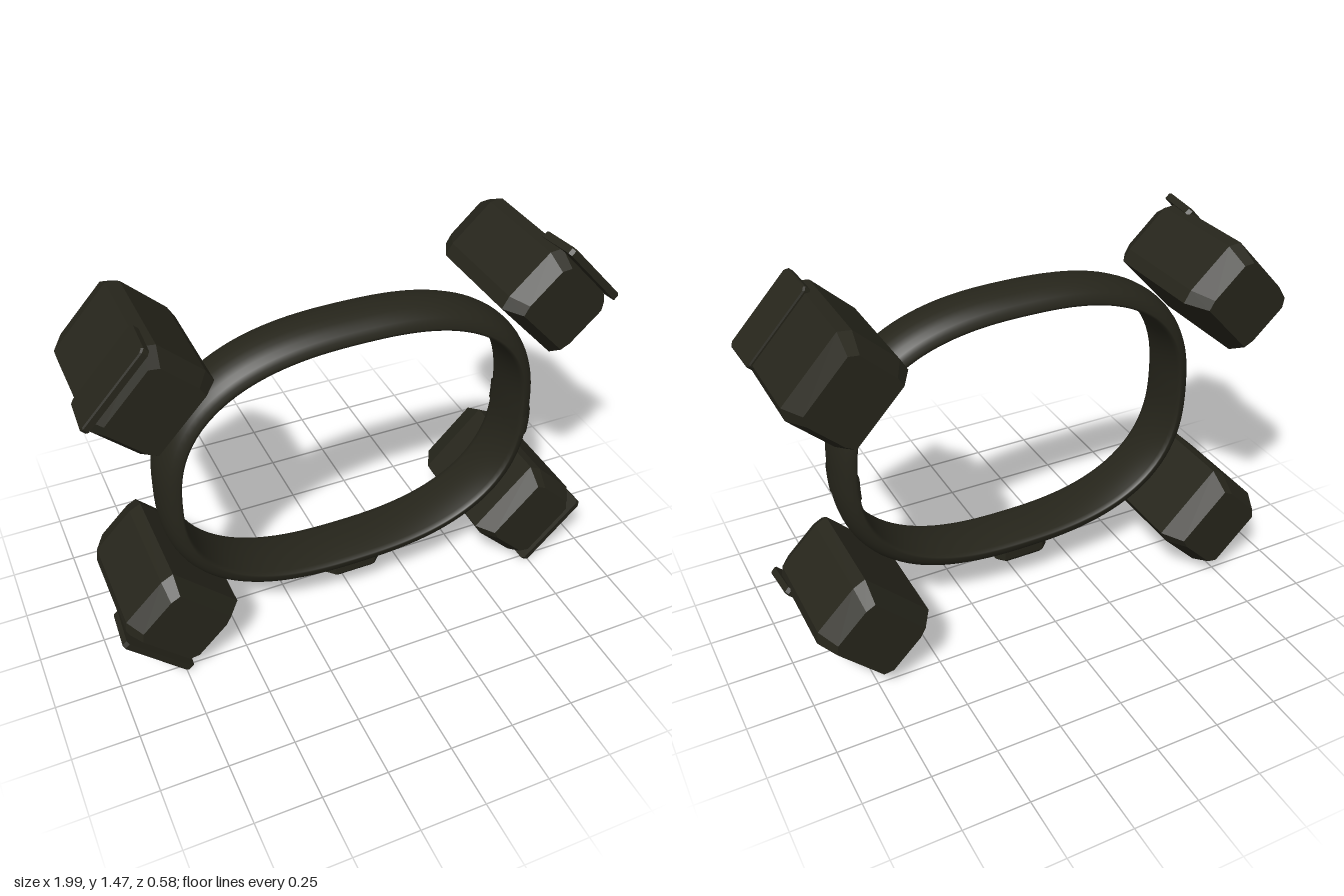
import * as THREE from 'three';

const fabric = { color: 0x26251b };
const smoothMat = new THREE.MeshStandardMaterial({ ...fabric, side: THREE.DoubleSide });
const flatMat = new THREE.MeshStandardMaterial({ ...fabric, flatShading: true });

function toGeometry(positions, index) {
  const g = new THREE.BufferGeometry();
  g.setAttribute('position', new THREE.Float32BufferAttribute(positions, 3));
  g.setIndex(index);
  return g;
}

// Block lofted along z: counter-clockwise section, levels of [z, scale]
function loftBlock(section, levels) {
  const n = section.length, pos = [], idx = [];
  for (const [z, s] of levels) for (const [u, v] of section) pos.push(u * s, v * s, z);
  for (let l = 0; l < levels.length - 1; l++) {
    for (let i = 0; i < n; i++) {
      const a = l * n + i, b = l * n + (i + 1) % n;
      idx.push(a, b, b + n, a, b + n, a + n);
    }
  }
  const last = (levels.length - 1) * n;
  for (let i = 1; i < n - 1; i++) {
    idx.push(0, i + 1, i);
    idx.push(last, last + i, last + i + 1);
  }
  const g = toGeometry(pos, idx).toNonIndexed();
  g.computeVertexNormals();
  return g;
}

// Padded belt: rounded outside, nearly flat inside, swept round a superellipse
const BELT_Y = 0.752, BELT_Z = 0.097, BELT_HALF = 0.115;

function beltGeometry({ from = 0, to = Math.PI * 2, steps = 128, skew = 0, grow = 0 } = {}) {
  const closed = to - from > 6.28, cuts = 12, section = [];
  for (let j = 0; j <= cuts; j++) {
    const s = -Math.cos(Math.PI * j / cuts);
    section.push([s, 0.24 + 0.76 * Math.sqrt(Math.max(0, 1 - s * s)), grow]);
  }
  for (let j = 0; j <= cuts; j++) {
    const s = 1 - 2 * j / cuts;
    section.push([s, 0.15 * s * s, -grow]);
  }
  const n = section.length, rings = closed ? steps : steps + 1, pos = [], idx = [];
  for (let i = 0; i < rings; i++) {
    for (const [s, d, g] of section) {
      const t = from + (to - from) * i / steps + skew * s;
      const c = Math.cos(t), w = Math.sin(t);
      const a = 0.67 + 0.08 * d + g, b = 0.488 + 0.09 * d + g;
      const r = Math.pow(Math.pow(Math.abs(c) / a, 2.5) + Math.pow(Math.abs(w) / b, 2.5), -0.4);
      pos.push(r * c, BELT_Y + r * w, BELT_Z + s * (BELT_HALF + grow));
    }
  }
  for (let i = 0; i < steps; i++) {
    for (let j = 0; j < n; j++) {
      const k = (j + 1) % n, p = i * n, q = ((i + 1) % rings) * n;
      idx.push(p + j, q + j, q + k, p + j, q + k, p + k);
    }
  }
  const g = toGeometry(pos, idx);
  g.computeVertexNormals();
  return g;
}

// Pouch: chamfered block whose local +x points away from the belt
const pouchSection = [
  [-0.157, -0.165], [-0.107, -0.18], [0.10, -0.18], [0.14, -0.15],
  [0.14, 0.15], [0.10, 0.18], [-0.107, 0.18], [-0.157, 0.165],
];
const pouchGeometry = loftBlock(pouchSection, [[-0.29, 0.78], [-0.2, 1], [0.22, 1], [0.29, 0.78]]);

// Flap: thin plate with clipped corners
function flapGeometry() {
  const w = 0.0875, h = 0.168, c = 0.012;
  const outline = [[-w, -h + c], [-w + c, -h], [w - c, -h], [w, -h + c],
    [w, h - c], [w - c, h], [-w + c, h], [-w, h - c]];
  return loftBlock(outline, [[-0.014, 1], [0.008, 1], [0.014, 0.97]]);
}

function makePouch(x, y, angle) {
  const pouch = new THREE.Group();
  pouch.name = 'pouch';
  const body = new THREE.Mesh(pouchGeometry, flatMat);
  body.name = 'pouchBody';
  const flap = new THREE.Mesh(flapGeometry(), flatMat);
  flap.name = 'pouchFlap';
  // Plate faces outward and lifts slightly toward the front
  flap.rotation.y = Math.PI / 2 + 0.08;
  flap.position.set(0.145, 0, 0.197);
  pouch.add(body, flap);
  pouch.position.set(x, y, 0);
  pouch.rotation.z = angle;
  return pouch;
}

export function createModel() {
  const model = new THREE.Group();
  model.name = 'pouchBelt';

  const belt = new THREE.Mesh(beltGeometry(), smoothMat);
  belt.name = 'belt';
  model.add(belt);

  // Slanted wrap on the left side of the belt
  const wrap = new THREE.Mesh(
    beltGeometry({ from: -0.135, to: -0.005, steps: 6, skew: -0.024, grow: 0.004 }), smoothMat);
  wrap.name = 'sideWrap';
  model.add(wrap);

  // Two upper and two lower pouches, mirrored left and right
  for (const side of [1, -1]) {
    for (const [x, y, angle] of [[0.763, 1.247, 0.75], [0.742, 0.237, -Math.PI / 4]]) {
      model.add(makePouch(side * x, y, side > 0 ? angle : Math.PI - angle));
    }
  }

  // Buckle under the belt
  const buckleSection = [[-0.115, -0.045], [-0.085, -0.075], [0.085, -0.075], [0.115, -0.045],
    [0.115, 0.045], [0.085, 0.075], [-0.085, 0.075], [-0.115, 0.045]];
  const buckle = new THREE.Mesh(
    loftBlock(buckleSection, [[-0.04, 1], [0.022, 1], [0.037, 0.87]]), flatMat);
  buckle.name = 'buckle';
  buckle.rotation.x = Math.PI / 2;
  buckle.position.set(0, 0.174, BELT_Z);
  model.add(buckle);

  return model;
}
